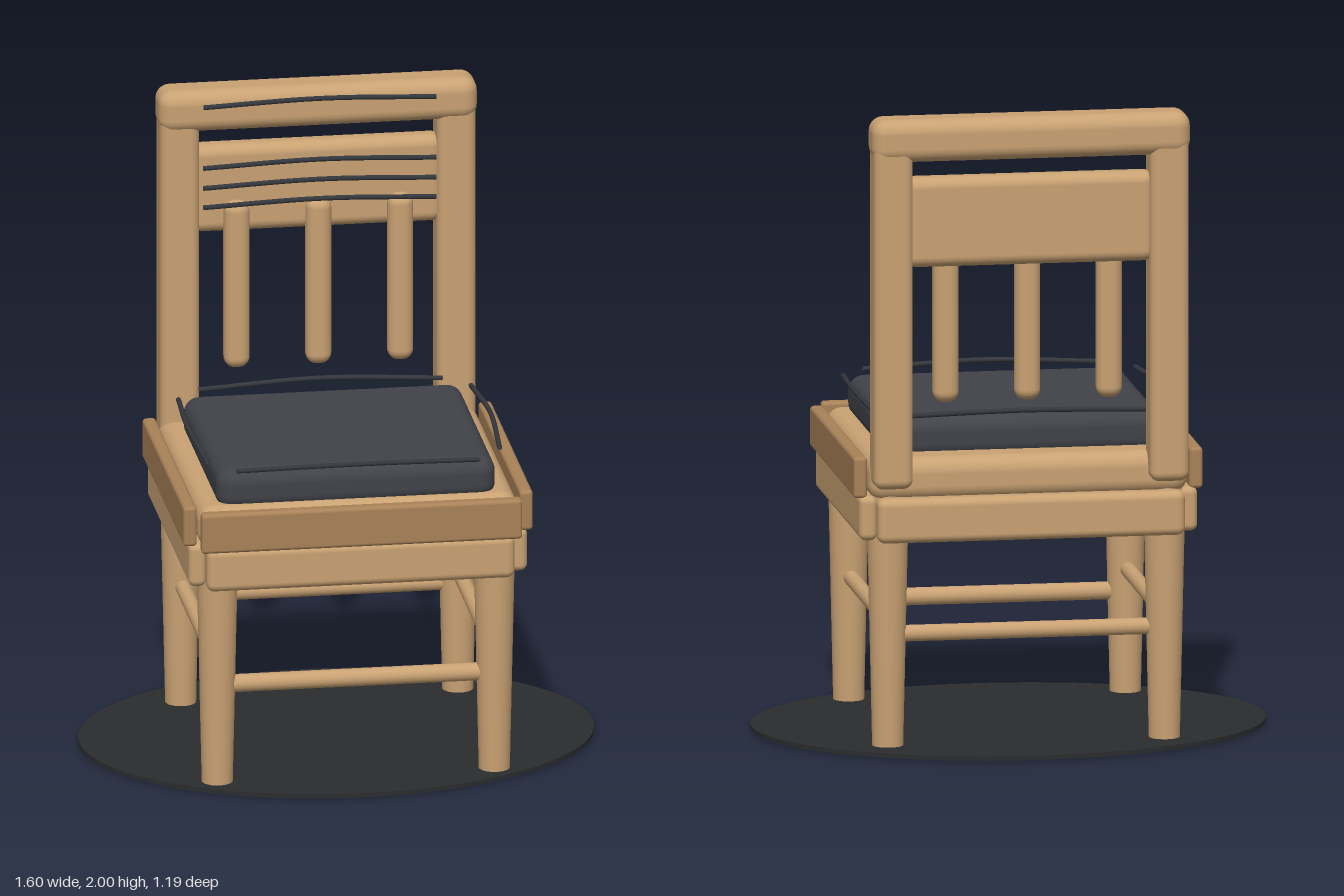
import * as THREE from 'three';
import { RoundedBoxGeometry } from 'three/addons/geometries/RoundedBoxGeometry.js';

const material = (color, extra = {}) => new THREE.MeshStandardMaterial({ color, ...extra });

export function createModel() {
  const chair = new THREE.Group();
  chair.name = 'chair';
  const wood = material(0xc9a273);
  const darkWood = material(0xa98258);
  const fabric = material(0x414349);
  const piping = material(0x34373c);
  const floor = material(0x2a2c2e);

  const add = (name, geometry, mat) => {
    const mesh = new THREE.Mesh(geometry, mat);
    mesh.name = name;
    chair.add(mesh);
    return mesh;
  };

  // Rounded block given by its extents on each axis
  const block = (name, [x0, x1], [y0, y1], [z0, z1], radius, mat = wood) => {
    const geometry = new RoundedBoxGeometry(x1 - x0, y1 - y0, z1 - z0, 4, radius);
    add(name, geometry, mat).position.set((x0 + x1) / 2, (y0 + y1) / 2, (z0 + z1) / 2);
  };

  // Thin bowed cord through start, middle and end
  const cord = (name, ...points) => {
    const curve = new THREE.CatmullRomCurve3(points.map((p) => new THREE.Vector3(...p)));
    const tube = add(name, new THREE.TubeGeometry(curve, 24, 0.008, 8), piping);
    tube.material.side = THREE.DoubleSide;
  };

  // Round stretcher between two points
  const stretcher = (name, a, b, radius) => {
    const path = new THREE.LineCurve3(new THREE.Vector3(...a), new THREE.Vector3(...b));
    add(name, new THREE.TubeGeometry(path, 1, radius, 16), wood);
  };

  // Oval floor disc
  const disc = add('floorDisc', new THREE.CylinderGeometry(1, 1, 0.014, 64), floor);
  disc.scale.set(0.8, 1, 0.595);
  disc.position.y = 0.011;

  // Tapered legs, side aprons, side rails and back posts
  for (const side of [-1, 1]) {
    const span = (a, b) => (side > 0 ? [a, b] : [-b, -a]);
    for (const [name, z] of [['frontLeg', 0.41], ['backLeg', -0.35]]) {
      const leg = add(name, new THREE.CylinderGeometry(0.066, 0.048, 0.81, 24), wood);
      leg.position.set(side * 0.432, 0.405, z);
    }
    stretcher('sideStretcher', [side * 0.432, 0.407, -0.35], [side * 0.432, 0.407, 0.41], 0.024);
    block('sideApron', span(0.472, 0.528), [0.67, 0.81], [-0.41, 0.47], 0.022);
    block('sideRail', span(0.503, 0.545), [0.803, 0.932], [-0.4, 0.467], 0.012, darkWood);
    block('backPost', span(0.37, 0.492), [0.84, 1.93], [-0.48, -0.353], 0.03);
    cord('sidePiping', [side * 0.456, 1.042, -0.235], [side * 0.472, 1.054, 0.065], [side * 0.456, 1.042, 0.363]);
  }

  // Front and back stretchers and aprons
  stretcher('frontStretcher', [-0.432, 0.333, 0.41], [0.432, 0.333, 0.41], 0.028);
  stretcher('backStretcher', [-0.432, 0.367, -0.35], [0.432, 0.367, -0.35], 0.026);
  block('frontApron', [-0.48, 0.48], [0.67, 0.81], [0.468, 0.532], 0.025);
  block('backApron', [-0.48, 0.48], [0.67, 0.81], [-0.475, -0.405], 0.025);
  block('frontRail', [-0.5, 0.5], [0.803, 0.932], [0.504, 0.547], 0.012, darkWood);

  // Seat and cushion
  block('seat', [-0.498, 0.498], [0.79, 0.928], [-0.425, 0.487], 0.05);
  block('cushion', [-0.435, 0.435], [0.9, 1.035], [-0.312, 0.447], 0.05, fabric);
  cord('frontPiping', [-0.38, 1.042, 0.462], [0, 1.054, 0.486], [0.38, 1.042, 0.462]);
  cord('backPiping', [-0.38, 1.042, -0.318], [0, 1.054, -0.338], [0.38, 1.042, -0.318]);

  // Backrest
  block('topRail', [-0.497, 0.497], [1.865, 2], [-0.485, -0.343], 0.045);
  block('backSlat', [-0.39, 0.39], [1.53, 1.813], [-0.455, -0.37], 0.035);
  for (const x of [-0.255, 0, 0.255]) {
    block('spindle', [x - 0.04, x + 0.04], [1.095, 1.638], [-0.41, -0.332], 0.034);
  }
  for (const y of [1.953, 1.755, 1.69, 1.627]) {
    cord('backrestCord', [-0.363, y, -0.34], [0, y + 0.018, -0.323], [0.363, y, -0.34]);
  }

  return chair;
}
